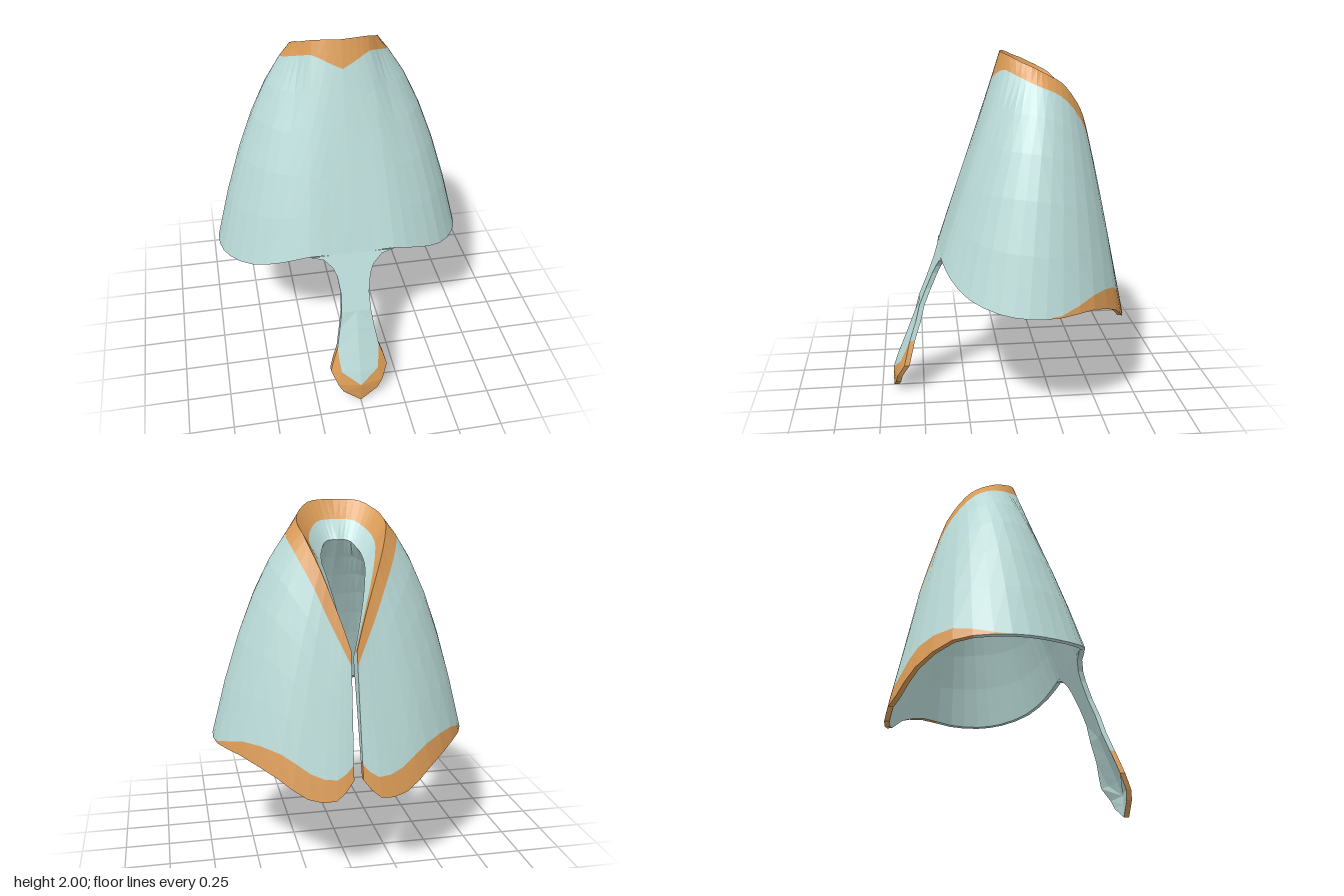
import * as THREE from 'three';

const { lerp, smoothstep } = THREE.MathUtils;
const V = (x, y, z) => new THREE.Vector3(x, y, z);

// Neck rim and hem, from centre front round to the back opening (left half)
const RIM = new THREE.CatmullRomCurve3([
  V(0, 2, .03), V(.08, 2, .02), V(.15, 1.99, -.01), V(.2, 1.96, -.07), V(.225, 1.94, -.12),
  V(.237, 1.915, -.17), V(.24, 1.89, -.22), V(.225, 1.855, -.28), V(.2, 1.79, -.34),
  V(.155, 1.68, -.41), V(.1, 1.53, -.46), V(.055, 1.4, -.5), V(.015, 1.27, -.535),
]);
const HEM = new THREE.CatmullRomCurve3([
  V(0, .87, .385), V(.12, .87, .385), V(.24, .87, .38), V(.39, .82, .34), V(.55, .76, .25),
  V(.67, .72, .1), V(.72, .705, -.05), V(.705, .7, -.23), V(.6, .695, -.42),
  V(.42, .61, -.58), V(.27, .51, -.655), V(.12, .5, -.685), V(.025, .6, -.665),
]);

// Front tongue: height, half width, half width of the plain centre
const TONGUE = [
  [.87, .24], [.85, .165], [.8, .115], [.75, .095], [.65, .08], [.55, .085], [.45, .1],
  [.34, .12], [.27, .145, .115], [.2, .165, .105], [.12, .13, 0], [.07, .1, 0], [0, 0, 0],
];

// Adds a triangle and its mirror image, skipping collapsed ones
function tri(list, a, b, c) {
  const area = b.clone().sub(a).cross(c.clone().sub(a)).length();
  if (area < 1e-7) return;
  for (const p of [a, b, c]) list.push(p.x, p.y, p.z);
  for (const p of [a, c, b]) list.push(-p.x, p.y, p.z);
}

function quad(list, a, b, c, d) {
  tri(list, a, b, c);
  tri(list, a, c, d);
}

// Cross-section of the cloth at u: lip, rim, outer wall, hem, inner wall, lip
function makeRib(u) {
  const rim = RIM.getPoint(u), hem = HEM.getPoint(u);
  const lip = V(rim.x * .48, rim.y - .21 + .16 * u ** 6, rim.z + lerp(-.13, .055, u));
  const bulge = Math.sin(Math.PI * u) ** 3;
  const collar = .07 + .06 * Math.max(0, 1 - u / .15) + .05 * smoothstep(u, .2, .5);
  const band = .12 * smoothstep(u, .54, .83);
  const inward = V(-hem.x, 0, -.1 - hem.z).normalize();

  const ctrl = rim.clone().lerp(hem, .5).addScaledVector(inward, -.02 * bulge);
  ctrl.y += .37 * bulge;
  const outer = new THREE.QuadraticBezierCurve3(rim, ctrl, hem);
  const ctrlIn = ctrl.clone().addScaledVector(inward, .06);
  ctrlIn.y -= .1 * bulge;
  const hemIn = hem.clone().addScaledVector(inward, .03);
  const inner = new THREE.QuadraticBezierCurve3(lip, ctrlIn, hemIn);

  const ts = [0, 0, .2, .4, .6, .8, 1].map(t => lerp(collar, 1 - band, t));
  ts[0] = 0;
  const wall = [...ts, 1].map(t => outer.getPoint(t));
  const lining = inner.getPoints(wall.length - 1);
  const loop = [lip, rim.clone().lerp(lip, .5), ...wall, ...lining.slice().reverse()];
  return { wall, lining, loop };
}

function buildMantle(parts) {
  const COLS = 24;
  const ribs = Array.from({ length: COLS + 1 }, (_, j) => makeRib(j / COLS));
  for (let j = 0; j < COLS; j++) {
    const a = ribs[j].loop, b = ribs[j + 1].loop;
    for (let i = 0; i < a.length - 1; i++) {
      const hemEdge = i === 9;
      if (hemEdge && j < 4) continue; // the tongue joins here
      let part = parts.mantle;
      if (i === 1 || i === 2) part = parts.collarTrim;
      else if (i === 8 || (hemEdge && j >= 15)) part = parts.hemTrim;
      else if (i === 0 || i > 9) part = parts.lining;
      quad(part, a[i], a[i + 1], b[i + 1], b[i]);
    }
  }

  // Edge faces along the back opening
  const { wall, lining } = ribs[COLS];
  for (let i = 0; i < wall.length - 1; i++) {
    const part = i === wall.length - 2 ? parts.hemTrim : parts.mantle;
    quad(part, wall[i], wall[i + 1], lining[i + 1], lining[i]);
  }
}

function buildTongue(parts) {
  const rows = TONGUE.map(([y, w, plain = w]) => {
    const curl = y < .5 ? 1.5 : 0;
    const z = Math.min(.385 + (.87 - y) * .4, .68);
    const front = [0, plain, w].map(x => V(x, y, z - curl * x * x));
    const back = front.map(p => V(p.x, p.y, p.z - .03));
    return { front, back };
  });
  for (let i = 0; i < rows.length - 1; i++) {
    const a = rows[i], b = rows[i + 1];
    const low = TONGUE[i][0] <= .34;
    quad(parts.tongue, a.front[0], b.front[0], b.front[1], a.front[1]);
    quad(parts.tongueTrim, a.front[1], b.front[1], b.front[2], a.front[2]);
    for (const k of [0, 1]) quad(parts.tongue, a.back[k + 1], b.back[k + 1], b.back[k], a.back[k]);
    quad(low ? parts.tongueTrim : parts.tongue, a.front[2], b.front[2], b.back[2], a.back[2]);
  }
}

export function createModel() {
  const cloth = new THREE.MeshStandardMaterial({ color: 0xb9dad7, flatShading: true, side: THREE.DoubleSide });
  cloth.name = 'pale teal cloth';
  const trim = new THREE.MeshStandardMaterial({ color: 0xd99a55, flatShading: true, side: THREE.DoubleSide });
  trim.name = 'orange trim';

  const parts = { mantle: [], lining: [], collarTrim: [], hemTrim: [], tongue: [], tongueTrim: [] };
  buildMantle(parts);
  buildTongue(parts);

  const group = new THREE.Group();
  group.name = 'cape';
  for (const [name, list] of Object.entries(parts)) {
    const geometry = new THREE.BufferGeometry();
    geometry.setAttribute('position', new THREE.Float32BufferAttribute(list, 3));
    geometry.computeVertexNormals();
    const mesh = new THREE.Mesh(geometry, name.endsWith('Trim') ? trim : cloth);
    mesh.name = name;
    group.add(mesh);
  }
  return group;
}
